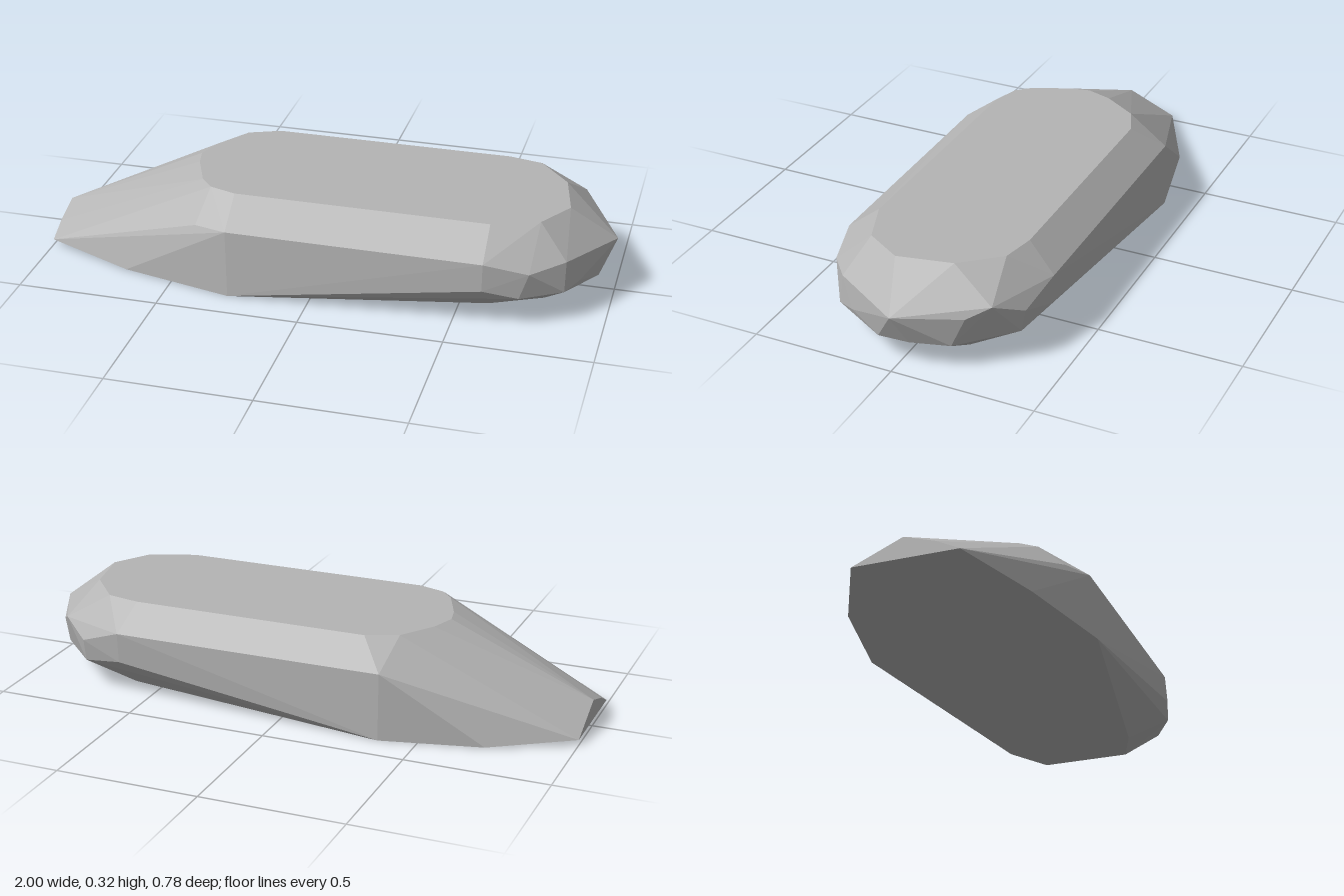
import * as THREE from 'three';
import { ConvexGeometry } from 'three/addons/geometries/ConvexGeometry.js';

export function createModel() {
  const group = new THREE.Group();
  group.name = 'rock';
  const stone = new THREE.MeshStandardMaterial({ color: 0xb4b4b4 });
  stone.name = 'grey stone';

  // flat top outline as [x, z]
  const top = [
    [-0.29, 0.25], [0.6, 0.25], [0.76, 0.19], [0.84, 0.06], [0.8, -0.13],
    [0.69, -0.26], [0.57, -0.285], [-0.28, -0.285], [-0.39, -0.24],
    [-0.47, -0.12], [-0.5, -0.03], [-0.485, 0.04], [-0.43, 0.17], [-0.385, 0.22],
  ].map(([x, z]) => [x, 0.325, z]);

  // widest ring
  const rim = [
    [-0.41, 0.225, 0.325], [-0.29, 0.235, 0.37], [0.6, 0.232, 0.368], [0.75, 0.197, 0.333],
    [0.86, 0.215, 0.245], [1, 0.2, 0], [0.9, 0.195, -0.215], [0.85, 0.23, -0.285],
    [0.75, 0.18, -0.355], [0.6, 0.235, -0.385], [-0.37, 0.235, -0.385], [-0.46, 0.215, -0.335],
  ];

  // lower ring around the blunt end
  const chin = [
    [0.6, 0.135, 0.372], [0.72, 0.107, 0.34], [0.86, 0.11, 0.26], [0.9, 0.123, 0.19],
    [0.95, 0.088, 0.07], [0.95, 0.092, -0.04], [0.91, 0.09, -0.17],
    [0.75, 0.1, -0.34], [0.6, 0.127, -0.377],
  ];

  // underside
  const base = [
    [-0.68, 0.003, 0.305], [-0.28, 0, 0.39], [0.6, 0.007, 0.22], [0.78, 0.017, 0.15],
    [0.78, 0.017, -0.17], [0.6, 0.007, -0.25], [-0.37, 0, -0.39], [-0.72, 0.003, -0.315],
  ];

  // tapered end
  const tip = [[-1, 0.02, 0.19], [-1, 0.06, 0.11], [-1, 0.095, 0], [-1, 0.02, -0.175]];

  const points = [...top, ...rim, ...chin, ...base, ...tip].map((p) => new THREE.Vector3(...p));
  const body = new THREE.Mesh(new ConvexGeometry(points), stone);
  body.name = 'rockBody';
  group.add(body);
  return group;
}
